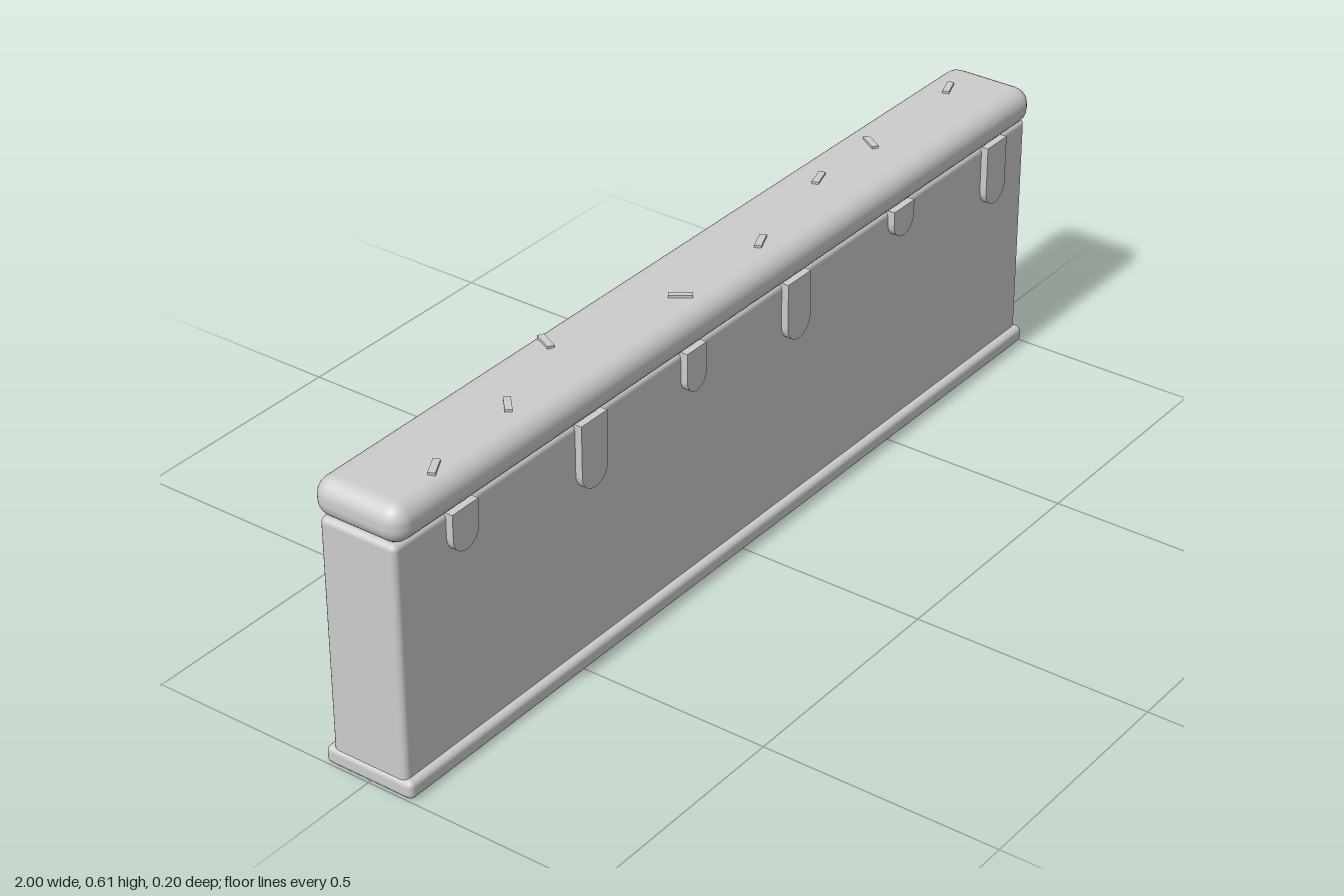
import * as THREE from 'three';
import { RoundedBoxGeometry } from 'three/addons/geometries/RoundedBoxGeometry.js';

export function createModel() {
  const group = new THREE.Group();
  const grey = new THREE.MeshStandardMaterial({ color: 0xcccccc });
  grey.name = 'light grey';

  const add = (name, geometry, x, y, z) => {
    const mesh = new THREE.Mesh(geometry, grey);
    mesh.name = name;
    mesh.position.set(x, y, z);
    group.add(mesh);
    return mesh;
  };

  // Rounded slab spanning y0..y1
  const slab = (name, width, y0, y1, depth, segments, radius) =>
    add(name, new RoundedBoxGeometry(width, y1 - y0, depth, segments, radius), 0, (y0 + y1) / 2, 0);

  slab('base', 2, 0, 0.038, 0.2, 2, 0.012);
  slab('wallBody', 1.99, 0.01, 0.525, 0.17, 2, 0.012);
  slab('icingCap', 2, 0.521, 0.601, 0.2, 3, 0.036);

  // Icing drip: straight strip with a round lower end
  const drip = (name, x, width, bottom, side) => {
    const r = width / 2;
    const shape = new THREE.Shape();
    shape.moveTo(r, 0.527);
    shape.lineTo(-r, 0.527);
    shape.lineTo(-r, bottom + r);
    shape.absarc(0, bottom + r, r, Math.PI, Math.PI * 2, false);
    shape.closePath();
    const geometry = new THREE.ExtrudeGeometry(shape, { depth: 0.025, bevelEnabled: false, curveSegments: 10 });
    add(name, geometry, x, 0, side > 0 ? 0.075 : -0.1);
  };

  // x, width, bottom
  const front = [
    [-0.825, 0.07, 0.44], [-0.465, 0.075, 0.383], [-0.158, 0.06, 0.437],
    [0.17, 0.075, 0.395], [0.527, 0.07, 0.463], [0.865, 0.07, 0.39],
  ];
  const back = [
    [0.815, 0.07, 0.46], [0.545, 0.078, 0.388], [0.197, 0.066, 0.425],
    [-0.18, 0.08, 0.43], [-0.462, 0.078, 0.46], [-0.856, 0.073, 0.388],
  ];
  front.forEach((d) => drip('frontDrip', ...d, 1));
  back.forEach((d) => drip('backDrip', ...d, -1));

  // Sprinkles on the cap: x, z, turn
  const sprinkles = [
    [-0.85, 0.055, 0.5], [-0.615, 0.026, 0.75], [-0.405, -0.056, 1.1], [-0.125, 0.038, -0.95],
    [0.13, 0.036, 0.4], [0.405, -0.022, 0.3], [0.59, -0.025, 1.0], [0.885, -0.035, 0.35],
  ];
  const sprinkle = new THREE.BoxGeometry(0.046, 0.012, 0.014);
  for (const [x, z, turn] of sprinkles) {
    add('sprinkle', sprinkle, x, 0.6, z).rotation.y = turn;
  }

  return group;
}
